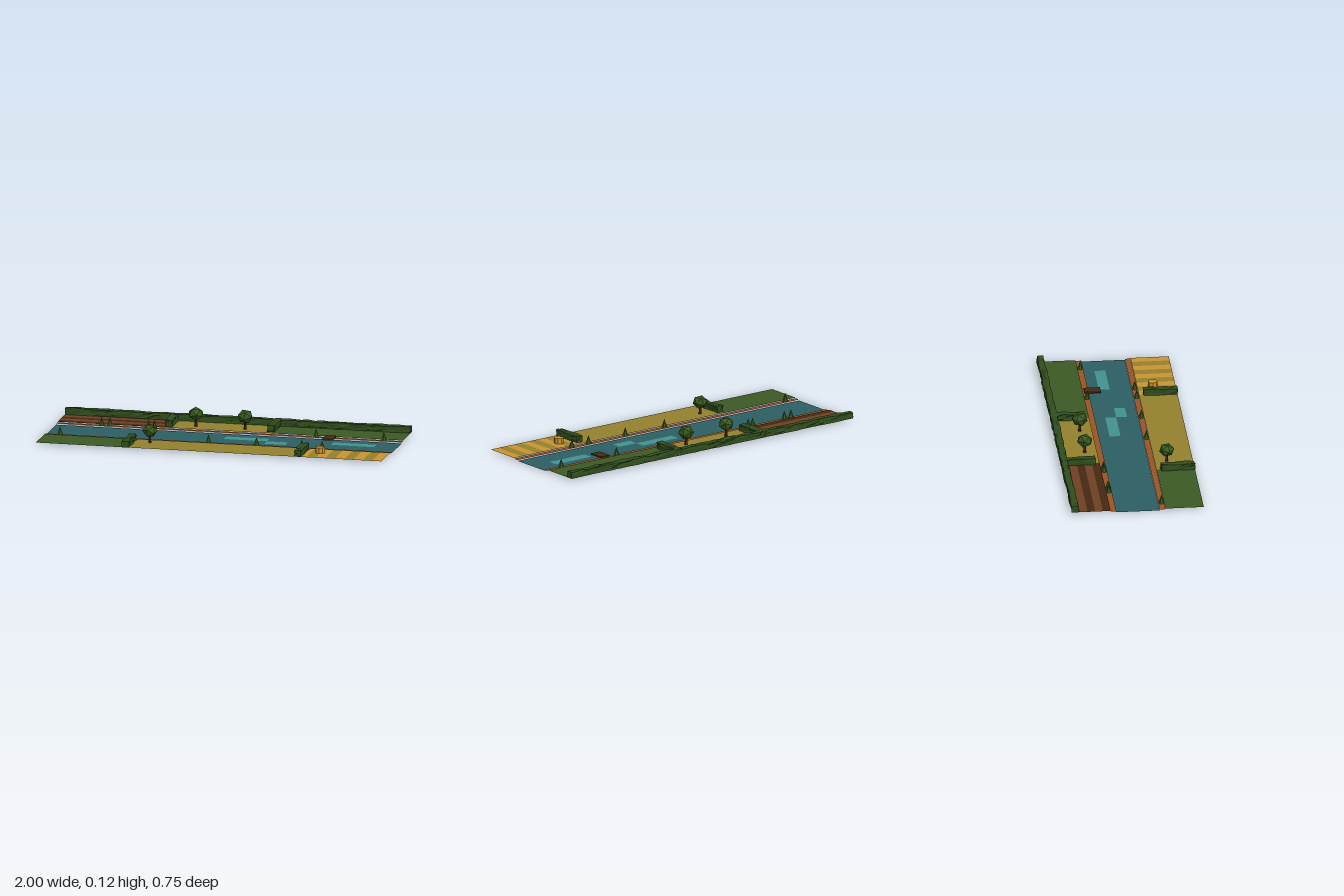
import * as THREE from 'three';

const mat = (name, color) => {
  const m = new THREE.MeshStandardMaterial({ color, flatShading: true, side: THREE.DoubleSide });
  m.name = name;
  return m;
};

export function createModel() {
  const root = new THREE.Group();
  const grass = mat('grass', 0x3d5a25);
  const meadow = mat('meadow', 0x94802e);
  const soil = mat('soil', 0x6e4024);
  const darkWood = mat('darkBrown', 0x452a12);
  const bankMat = mat('bankClay', 0x9a5424);
  const waterMat = mat('water', 0x2c5f64);
  const glint = mat('waterGlint', 0x42938f);
  const straw = mat('straw', 0xca9430);
  const hedgeMat = mat('hedgeGreen', 0x304d1d);
  const leafMat = mat('leafGreen', 0x39591f);

  const add = (name, geo, material, x, y, z, parent = root) => {
    const m = new THREE.Mesh(geo, material);
    m.name = name;
    m.position.set(x, y, z);
    parent.add(m);
    return m;
  };

  // Flat rectangle of ground given by its edges
  const patch = (name, material, x0, x1, z0, z1, y) =>
    add(name, new THREE.PlaneGeometry(x1 - x0, z1 - z0).rotateX(-Math.PI / 2),
      material, (x0 + x1) / 2, y, (z0 + z1) / 2);

  // River: a row of plain and lighter tiles
  const W = 0.123, B = 0.155, E = 0.372, FIELD = 0.01, BANK = 0.006;
  patch('riverBackStrip', waterMat, -1, 1, -W, -W / 2, 0);
  patch('riverFrontStrip', waterMat, -1, 1, W / 2, W, 0);
  const rows = [
    [-W / 2, 0, [-1, 0, 0.25, 0.62, 0.87, 1]],
    [0, W / 2, [-1, 0.25, 0.37, 1]],
  ];
  for (const [z0, z1, xs] of rows)
    for (let i = 0; i < xs.length - 1; i++)
      patch(i % 2 ? 'riverGlint' : 'riverTile', i % 2 ? glint : waterMat, xs[i], xs[i + 1], z0, z1, 0);

  // Banks
  patch('backBank', bankMat, -1, 1, -B, -W, BANK);
  patch('frontBank', bankMat, -1, 1, W, B, BANK);

  // Fields
  patch('backMeadow', meadow, -0.36, 0.235, -E, -B, FIELD);
  patch('backGrass', grass, 0.235, 1, -E, -B, FIELD);
  patch('frontGrass', grass, -1, -0.485, B, E, FIELD);
  patch('frontMeadow', meadow, -0.485, 0.51, B, E, FIELD);
  for (let i = 0; i < 5; i++) {
    const d = (E - B) / 5;
    patch('ploughedFurrow', i % 2 ? soil : darkWood, -1, -0.36, -E + i * d, -E + (i + 1) * d, FIELD);
  }
  for (let i = 0; i < 9; i++) {
    const d = 0.49 / 9;
    patch('wheatRow', i % 2 ? meadow : straw, 0.51 + i * d, 0.51 + (i + 1) * d, B, E, FIELD);
  }

  // Hedges: boxes roughened by a position hash so that shared corners stay joined
  const hash = (x, y, z, k) => {
    const s = Math.sin(Math.round(x * 1e4) * 12.9898 + Math.round(y * 1e4) * 78.233
      + Math.round(z * 1e4) * 37.719 + k * 4.17) * 43758.5453;
    return s - Math.floor(s) - 0.5;
  };
  const hedge = (name, sx, sz, x, z) => {
    const seg = (s) => Math.max(3, Math.round(s / 0.04));
    const geo = new THREE.BoxGeometry(sx, 0.036, sz, seg(sx), 3, seg(sz));
    const p = geo.attributes.position;
    for (let i = 0; i < p.count; i++) {
      const a = p.getX(i), b = p.getY(i), c = p.getZ(i);
      const q = [a + x, b, c + z];
      const endX = sx > 1 ? 0 : 0.007, low = b < -0.017;
      p.setXYZ(i, a + hash(...q, 1) * endX, b + (low ? 0 : hash(...q, 2) * 0.007), c + hash(...q, 3) * 0.007);
    }
    geo.computeVertexNormals();
    add(name, geo, hedgeMat, x, 0.028, z);
  };
  hedge('longBackHedge', 2, 0.038, 0, -0.356);
  hedge('backCrossHedge', 0.04, 0.192, -0.363, -0.277);
  hedge('backCrossHedge', 0.04, 0.192, 0.228, -0.277);
  hedge('frontCrossHedge', 0.04, 0.192, -0.484, 0.277);
  hedge('frontCrossHedge', 0.04, 0.192, 0.515, 0.277);

  // Round trees
  [[-0.215, -0.224, 1], [0.07, -0.224, 1], [-0.375, 0.224, 0.95]].forEach(([x, z, s], i) => {
    const tree = new THREE.Group();
    tree.name = 'roundTree';
    tree.position.set(x, FIELD, z);
    tree.scale.setScalar(s);
    root.add(tree);
    add('trunk', new THREE.CylinderGeometry(0.006, 0.009, 0.05, 6), darkWood, 0, 0.025, 0, tree);
    const crown = add('crown', new THREE.IcosahedronGeometry(0.046, 0).rotateX(0.55).rotateY(i * 0.8 + 0.3),
      leafMat, 0, 0.073, 0, tree);
    crown.scale.y = 0.88;
  });

  // Small pointed bushes along both banks
  const bush = new THREE.ConeGeometry(0.017, 0.05, 6);
  for (const x of [-0.74, -0.693, -0.468, -0.436, 0.5, 0.893]) add('pointedBush', bush, leafMat, x, 0.031, -0.14);
  for (const x of [-0.915, -0.056, 0.222, 0.484, 0.602]) add('pointedBush', bush, leafMat, x, 0.031, 0.14);

  // Jetty and straw bale
  add('jetty', new THREE.BoxGeometry(0.06, 0.008, 0.092), darkWood, 0.585, 0.0145, -0.102);
  add('strawBale', new THREE.CylinderGeometry(0.027, 0.027, 0.032, 8), straw, 0.615, 0.026, 0.243);

  return root;
}
